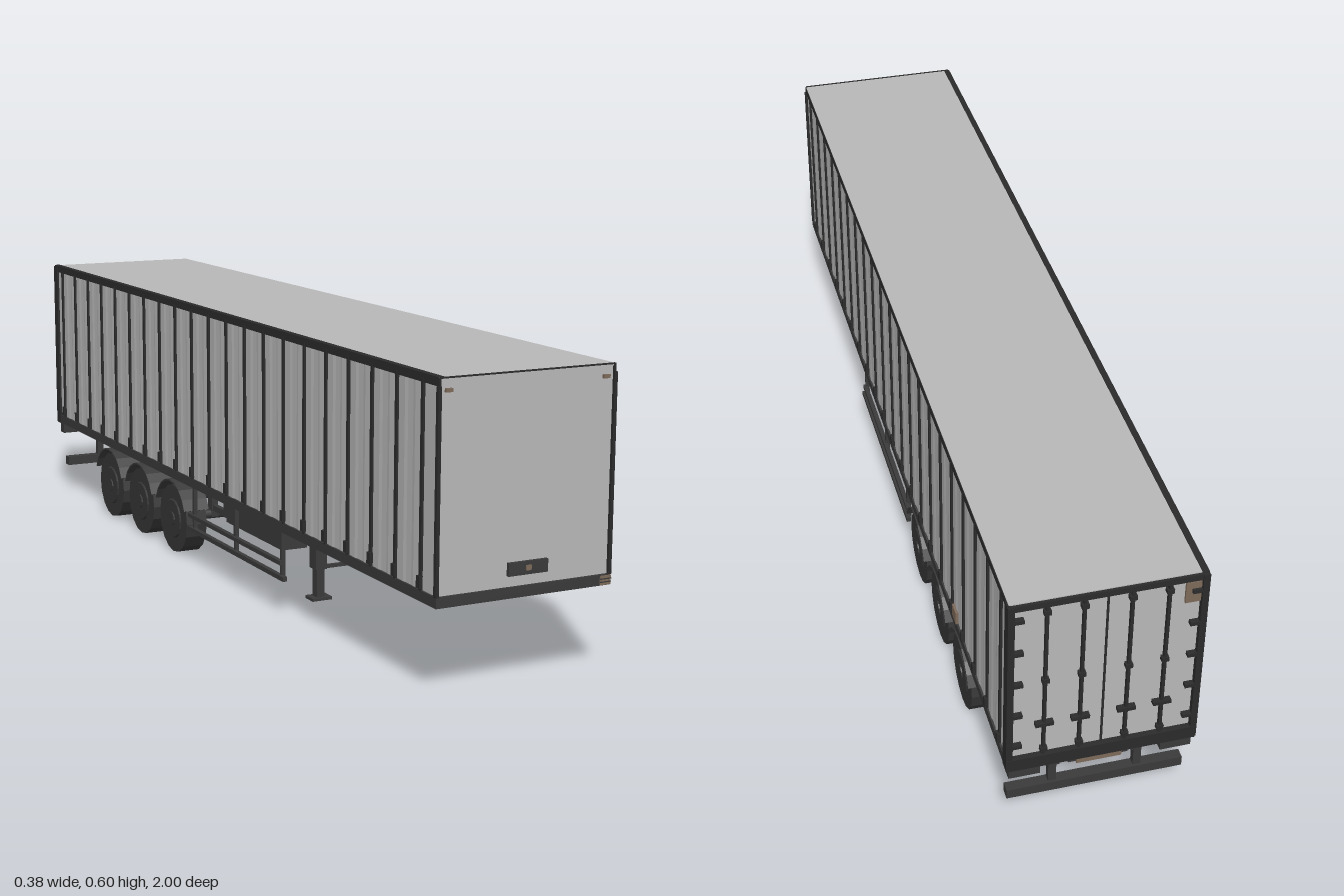
import * as THREE from 'three';

export function createModel() {
  const model = new THREE.Group();
  model.name = 'boxTrailer';
  const paint = (name, color, side = THREE.FrontSide) => {
    const m = new THREE.MeshStandardMaterial({ color, side });
    m.name = name;
    return m;
  };
  const panel = paint('lightGreyPanel', 0xb8b8b8);
  const steel = paint('darkSteel', 0x3a3a3a, THREE.DoubleSide);
  const black = paint('nearBlack', 0x2b2b2b);
  const rubber = paint('tyreRubber', 0x363636);
  rubber.flatShading = true;
  const brown = paint('dullBrown', 0x7d6a5a);

  const add = (name, geo, mat, parent = model) => {
    const mesh = new THREE.Mesh(geo, mat);
    mesh.name = name;
    parent.add(mesh);
    return mesh;
  };
  // Box given by its minimum and maximum on each axis
  const box = (name, mat, x0, x1, y0, y1, z0, z1, parent) => {
    const m = add(name, new THREE.BoxGeometry(x1 - x0, y1 - y0, z1 - z0), mat, parent);
    m.position.set((x0 + x1) / 2, (y0 + y1) / 2, (z0 + z1) / 2);
    return m;
  };
  // The same box on both sides
  const pair = (name, mat, x0, x1, ...rest) => {
    box(name + 'Left', mat, x0, x1, ...rest);
    box(name + 'Right', mat, -x1, -x0, ...rest);
  };

  // Cargo body: plan outline with gently pleated curtain sides
  const pitch = 0.0937, first = 0.936, bays = 20;
  const side = [[0.184, 0.99], [0.184, first]];
  for (let i = 0; i < bays; i++) {
    const z = first - i * pitch;
    for (const [t, x] of [[0.3, 0.1855], [0.4, 0.184], [0.6, 0.184], [0.7, 0.1855], [1, 0.184]]) {
      side.push([x, z - t * pitch]);
    }
  }
  side.push([0.184, -0.985]);
  const outline = [
    ...side.map(([x, z]) => new THREE.Vector2(x, -z)),
    ...[...side].reverse().map(([x, z]) => new THREE.Vector2(-x, -z)),
  ];
  const body = new THREE.ExtrudeGeometry(new THREE.Shape(outline), { depth: 0.398, bevelEnabled: false });
  body.rotateX(-Math.PI / 2);
  add('cargoBody', body, panel).position.y = 0.2;

  // Roof, roof rails and corner posts
  box('roof', panel, -0.186, 0.186, 0.594, 0.599, -0.988, 0.992);
  pair('roofRail', black, 0.183, 0.1875, 0.583, 0.598, -0.992, 0.994);
  box('roofEdgeStrip', black, -0.188, -0.175, 0.598, 0.6, -0.99, 0.99);
  box('frontRoofEdge', black, -0.186, 0.186, 0.597, 0.5995, 0.99, 0.995);
  pair('frontPost', black, 0.183, 0.19, 0.2, 0.583, 0.988, 0.996);
  pair('rearPost', black, 0.176, 0.189, 0.18, 0.596, -0.996, -0.972);

  // Curtain straps with buckles
  for (let i = 0; i <= bays; i++) {
    const z = first - i * pitch;
    pair('curtainStrap', black, 0.183, 0.1885, 0.2, 0.59, z - 0.004, z + 0.004);
    pair('strapBuckle', black, 0.185, 0.1925, 0.205, 0.228, z - 0.006, z + 0.006);
  }

  // Front wall details
  box('frontConnectorPlate', steel, -0.037, 0.048, 0.222, 0.247, 0.988, 0.997);
  box('frontConnector', brown, 0, 0.011, 0.23, 0.24, 0.996, 0.999);
  pair('frontMarker', brown, 0.16, 0.174, 0.572, 0.579, 0.988, 0.996);

  // Rear doors: frame, lock bars, hinges and handles
  box('rearTopFrame', black, -0.187, 0.187, 0.584, 0.597, -0.994, -0.975);
  box('rearSill', black, -0.187, 0.187, 0.178, 0.207, -0.997, -0.97);
  box('doorSeam', black, -0.002, 0.002, 0.207, 0.584, -0.988, -0.98);
  for (const x of [0.045, 0.115]) {
    pair('lockBar', black, x - 0.003, x + 0.003, 0.2, 0.59, -0.994, -0.98);
    pair('lockHandle', black, x - 0.018, x + 0.018, 0.284, 0.292, -0.997, -0.984);
    for (const y of [0.215, 0.395, 0.565]) {
      pair('lockBracket', black, x - 0.007, x + 0.007, y, y + 0.01, -0.996, -0.984);
    }
  }
  for (let i = 0; i < 5; i++) {
    const y = 0.235 + i * 0.08;
    pair('doorHinge', black, 0.158, 0.186, y, y + 0.008, -0.996, -0.982);
  }
  box('rearPlacard', brown, -0.176, -0.146, 0.53, 0.578, -0.99, -0.984);

  // Floor frame
  box('floorFrame', steel, -0.188, 0.188, 0.18, 0.201, -0.985, 0.995);
  box('frontSideMarker', brown, 0.165, 0.1885, 0.181, 0.199, 0.993, 0.997);
  for (const y of [0.186, 0.192]) {
    box('markerDivider', steel, 0.165, 0.189, y, y + 0.002, 0.994, 0.998);
  }
  box('sideLabel', brown, 0.184, 0.19, 0.2, 0.23, -0.605, -0.575);
  const pin = add('kingpin', new THREE.CylinderGeometry(0.005, 0.005, 0.018, 10), steel);
  pin.position.set(0, 0.172, 0.765);

  // Chassis beams, with a sloping gooseneck at the front
  const beam = new THREE.Shape([
    [0.5, 0.185], [0.41, 0.135], [-0.96, 0.132], [-0.96, 0.185],
  ].map(([z, y]) => new THREE.Vector2(z, y)));
  const beamGeo = new THREE.ExtrudeGeometry(beam, { depth: 0.012, bevelEnabled: false });
  beamGeo.rotateY(-Math.PI / 2);
  for (const s of [1, -1]) {
    add('chassisBeam', beamGeo, steel).position.x = s * 0.078 + 0.006;
  }
  for (let i = 0; i < 8; i++) {
    const z = 0.4 - i * 0.18;
    box('crossMember', steel, -0.12, 0.12, 0.157, 0.182, z - 0.006, z + 0.006);
  }

  // Landing legs with feet and brace
  pair('landingLeg', steel, 0.119, 0.137, 0.05, 0.182, 0.41, 0.43);
  pair('landingLegSleeve', steel, 0.116, 0.142, 0.11, 0.182, 0.405, 0.435);
  pair('landingFoot', steel, 0.105, 0.15, 0.044, 0.05, 0.403, 0.437);
  box('landingBrace', steel, -0.12, 0.12, 0.108, 0.115, 0.416, 0.424);
  box('legMarking', brown, 0.128, 0.135, 0.075, 0.178, 0.435, 0.438);

  // Side guards
  pair('sideGuardLower', steel, 0.176, 0.186, 0.074, 0.084, -0.125, 0.37);
  pair('sideGuardUpper', steel, 0.176, 0.186, 0.106, 0.115, -0.125, 0.355);
  for (const z of [0.35, 0.12, -0.105]) {
    pair('sideGuardPost', steel, 0.172, 0.181, 0.074, 0.185, z - 0.004, z + 0.004);
  }

  // Underslung equipment
  box('palletBox', steel, 0.048, 0.12, 0.107, 0.175, 0.02, 0.35);
  box('toolBox', steel, -0.168, -0.11, 0.13, 0.178, 0.05, 0.33);
  box('airTank', brown, -0.04, 0.016, 0.135, 0.157, -0.05, 0.02);
  box('valveBlock', steel, 0.012, 0.04, 0.138, 0.158, -0.05, 0.01);

  // Three axles with wheels and mudguards
  const wheelGeo = new THREE.CylinderGeometry(0.08, 0.08, 0.05, 16).rotateZ(Math.PI / 2);
  const rimGeo = new THREE.CylinderGeometry(0.044, 0.048, 0.004, 16).rotateZ(-Math.PI / 2);
  const hubGeo = new THREE.CylinderGeometry(0.016, 0.016, 0.008, 10).rotateZ(Math.PI / 2);
  const guardGeo = new THREE.CylinderGeometry(0.09, 0.09, 0.062, 12, 1, true, -0.2, Math.PI + 0.4);
  guardGeo.rotateZ(Math.PI / 2);
  const axleGeo = new THREE.CylinderGeometry(0.011, 0.011, 0.27, 8).rotateZ(Math.PI / 2);
  // Trim the guard to an arc over the top of the wheel
  const arc = [];
  for (let i = 0; i <= 8; i++) {
    const a = 0.35 + (i / 8) * (Math.PI - 0.7);
    arc.push([Math.cos(a) * 0.091, Math.sin(a) * 0.091]);
  }
  const guardShape = new THREE.Shape([
    ...arc.map(([z, y]) => new THREE.Vector2(z, y)),
    ...[...arc].reverse().map(([z, y]) => new THREE.Vector2(z * 0.96, y * 0.96)),
  ]);
  const mudguardGeo = new THREE.ExtrudeGeometry(guardShape, { depth: 0.062, bevelEnabled: false });
  mudguardGeo.rotateY(-Math.PI / 2).translate(0.031, 0, 0);
  guardGeo.dispose();
  for (const z of [-0.225, -0.423, -0.62]) {
    add('axle', axleGeo, steel).position.set(0, 0.08, z);
    for (const s of [1, -1]) {
      add('wheel', wheelGeo, rubber).position.set(s * 0.155, 0.08, z);
      const rim = add('wheelRim', rimGeo, rubber);
      rim.position.set(s * 0.181, 0.08, z);
      rim.rotation.y = s > 0 ? 0 : Math.PI;
      add('wheelHub', hubGeo, rubber).position.set(s * 0.182, 0.08, z);
      add('mudguard', mudguardGeo, steel).position.set(s * 0.158, 0.083, z);
    }
    pair('axleHanger', steel, 0.07, 0.086, 0.075, 0.14, z - 0.012, z + 0.012);
    pair('suspensionArm', steel, 0.072, 0.084, 0.09, 0.104, z, z + 0.09);
    pair('armBracket', steel, 0.07, 0.086, 0.09, 0.14, z + 0.078, z + 0.096);
  }

  // Rear underrun bumper and lamp clusters
  box('rearBumper', steel, -0.178, 0.178, 0.068, 0.09, -0.965, -0.943);
  pair('bumperPost', steel, 0.078, 0.094, 0.08, 0.185, -0.96, -0.945);
  pair('rearLamp', steel, 0.12, 0.182, 0.152, 0.18, -0.99, -0.965);
  box('numberPlate', brown, -0.045, 0.045, 0.15, 0.172, -0.982, -0.976);
  box('plateHolder', steel, -0.06, 0.06, 0.15, 0.182, -0.976, -0.966);
  return model;
}
